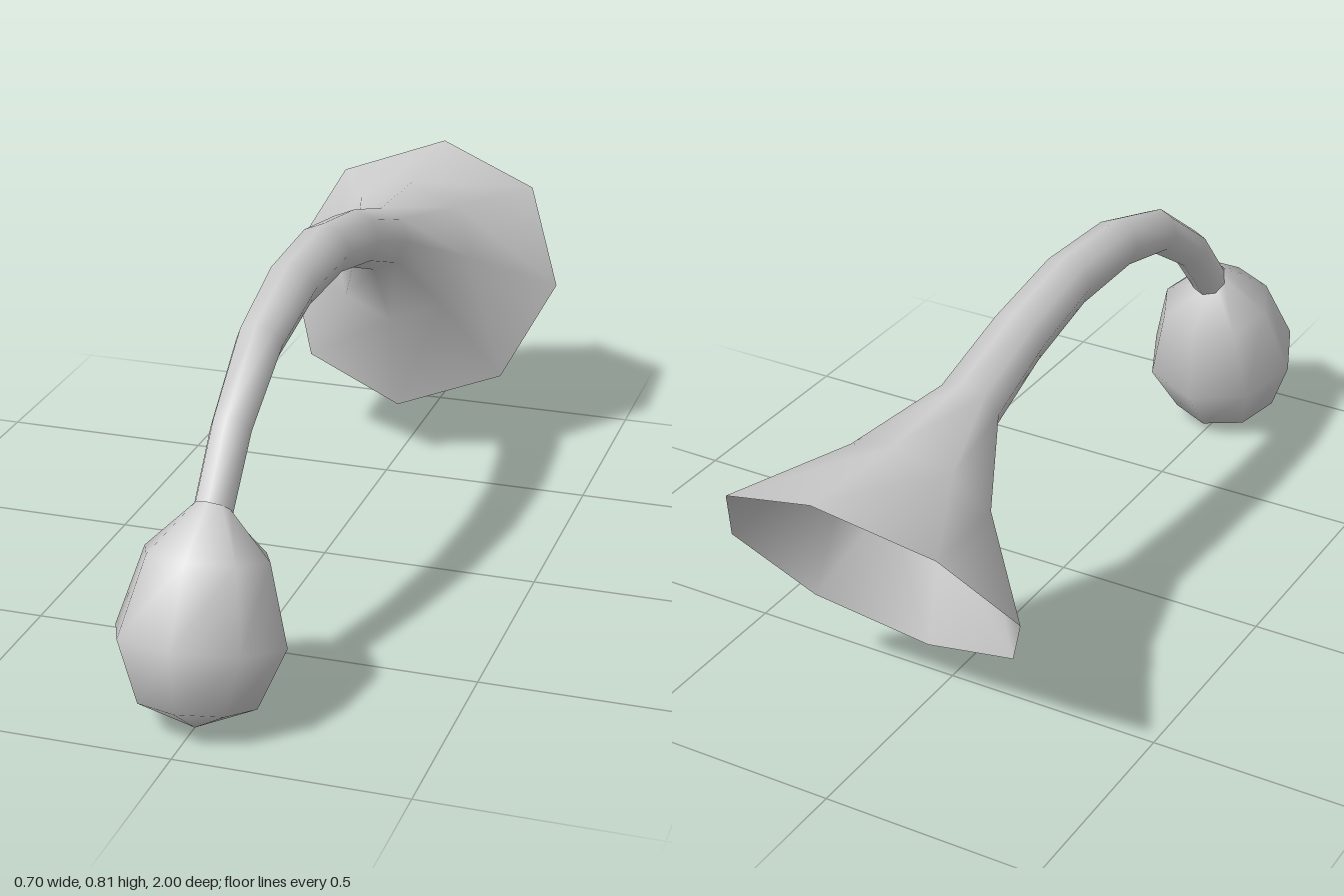
import * as THREE from 'three';

const SIDES = 8;

// Skins round rings along a curved spine. Each ring is [zA, yA, zB, yB]: the two
// ends of its diameter in the x = 0 plane. An optional tip [z, y] closes the end.
function loft(name, rings, tip) {
  const pos = [], index = [];
  for (const [zA, yA, zB, yB] of rings) {
    const cz = (zA + zB) / 2, cy = (yA + yB) / 2;
    const uz = (zA - zB) / 2, uy = (yA - yB) / 2;
    const r = Math.hypot(uz, uy);
    for (let j = 0; j < SIDES; j++) {
      const a = (j / SIDES) * Math.PI * 2;
      pos.push(r * Math.sin(a), cy + uy * Math.cos(a), cz + uz * Math.cos(a));
    }
  }
  for (let i = 0; i < rings.length - 1; i++) {
    for (let j = 0; j < SIDES; j++) {
      const k = (j + 1) % SIDES;
      const a = i * SIDES + j, b = i * SIDES + k;
      const c = a + SIDES, d = b + SIDES;
      index.push(a, c, b, b, c, d);
    }
  }
  if (tip) {
    const t = rings.length * SIDES, base = t - SIDES;
    pos.push(0, tip[1], tip[0]);
    for (let j = 0; j < SIDES; j++) index.push(base + j, t, base + (j + 1) % SIDES);
  }
  const geo = new THREE.BufferGeometry();
  geo.setAttribute('position', new THREE.Float32BufferAttribute(pos, 3));
  geo.setIndex(index);
  geo.computeVertexNormals();
  const mat = new THREE.MeshStandardMaterial({ color: 0xcccccc, side: THREE.DoubleSide });
  const mesh = new THREE.Mesh(geo, mat);
  mesh.name = name;
  return mesh;
}

export function createModel() {
  const group = new THREE.Group();
  group.name = 'bulbHorn';

  // Flared open bell running into the arched, tapering tube
  group.add(loft('hornTube', [
    [-1.0, 0.71, -0.595, 0.14],
    [-0.7, 0.69, -0.525, 0.39],
    [-0.44, 0.705, -0.38, 0.57],
    [-0.22, 0.77, -0.19, 0.64],
    [0.01, 0.81, 0.015, 0.685],
    [0.25, 0.8, 0.23, 0.685],
    [0.465, 0.735, 0.425, 0.64],
    [0.65, 0.6, 0.595, 0.53],
    [0.775, 0.45, 0.705, 0.4],
  ]));

  // Squeeze bulb, from its neck to the rounded bottom
  group.add(loft('squeezeBulb', [
    [0.77, 0.465, 0.71, 0.415],
    [0.905, 0.39, 0.645, 0.315],
    [1.0, 0.235, 0.64, 0.14],
    [0.98, 0.09, 0.725, 0.025],
  ], [0.865, 0.0]));

  return group;
}
